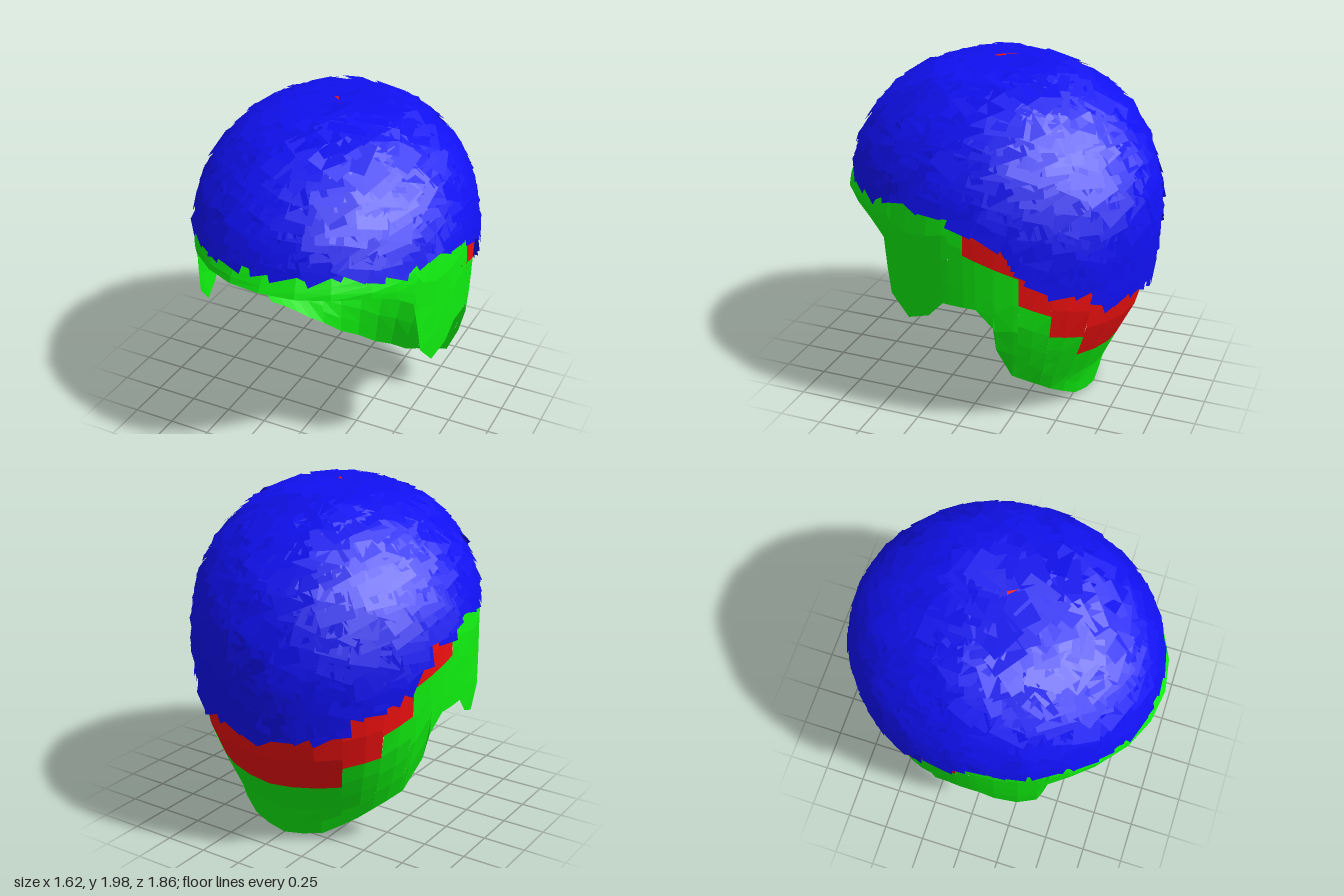
import * as THREE from 'three';
import { mergeGeometries } from 'three/addons/utils/BufferGeometryUtils.js';

const TOP = 1.97;
const RAD = Math.PI / 180;

// Piecewise linear lookup in a short list of [key, value]
function lookup(list, k) {
  if (k <= list[0][0]) return list[0][1];
  for (let i = 1; i < list.length; i++) {
    const [k0, v0] = list[i - 1], [k1, v1] = list[i];
    if (k <= k1) return v0 + (v1 - v0) * (k - k0) / (k1 - k0);
  }
  return list[list.length - 1][1];
}

// Head cross-section by height: half width, reach to the back, reach to the front
const WIDTH = [[0, 0.55], [0.16, 0.59], [0.32, 0.67], [0.52, 0.73], [0.67, 0.765], [0.8, 0.775], [1.1, 0.785]];
const BACK = [[0, 0.57], [0.2, 0.62], [0.37, 0.7], [0.5, 0.77], [0.7, 0.85], [1.1, 0.89]];
const FRONT = [[0.6, 1.1], [0.76, 1.0], [1.09, 0.9], [1.23, 0.94], [1.35, 0.89]];

// Angles in degrees from the front (0) to the back (180), the same on both sides
const HAIRLINE = [[0, 1.23], [24, 1.22], [38, 1.2], [48, 1.155], [56, 1.08], [58, 0.92], [60, 0.76],
  [68, 0.64], [78, 0.69], [85, 0.79], [99, 0.78], [106, 0.67], [107, 0.52], [114, 0.32],
  [136, 0.16], [156, 0.05], [180, 0.01]];
const CARD_LINE = [[0, 1.31], [70, 1.29], [88, 1.28], [112, 1.14], [118, 1.0], [128, 0.88],
  [145, 0.85], [152, 0.72], [180, 0.72]];
// Stepped border between rim and cap: from, to, height at each end
const STEPS = [[0, 88, 1.36, 1.33], [88, 94, 1.28, 1.25], [94, 116, 1.1, 0.98],
  [116, 129, 0.82, 0.74], [129, 145, 0.6, 0.55], [145, 180, 0.41, 0.37]];

// Point on the head at an angle and height
function headPoint(deg, y) {
  const s = Math.sin(deg * RAD), c = Math.cos(deg * RAD);
  const rise = Math.max(0, (y - 1.1) / (TOP - 1.1));
  const dome = Math.max(1e-4, Math.pow(Math.max(0, 1 - Math.pow(rise, 2.2)), 1 / 2.2));
  const w = lookup(WIDTH, y) * dome;
  const d = lookup(c > 0 ? FRONT : BACK, y) * dome;
  const r = 1 / Math.hypot(s / w, c / d);
  return new THREE.Vector3(s * r, y, c * r);
}

function stepHeight(deg, mid) {
  const [a, b, ya, yb] = STEPS.find(([from, to]) => mid >= from && mid <= to);
  return ya + (yb - ya) * (deg - a) / (b - a);
}

// Strip of quads between two heights, one strip for each pair of angles
function shellGeometry(columns, rows, low, high, ease) {
  const pos = [], index = [];
  for (let i = 0; i < columns.length - 1; i++) {
    const mid = Math.abs(columns[i] + columns[i + 1]) / 2;
    const base = pos.length / 3;
    for (let j = 0; j <= rows; j++) {
      for (const deg of [columns[i], columns[i + 1]]) {
        const a = Math.abs(deg), y0 = low(a, mid), y1 = high(a, mid);
        pos.push(...headPoint(deg, y0 + (y1 - y0) * ease(j / rows)).toArray());
      }
      if (j < rows) {
        const k = base + j * 2;
        index.push(k, k + 1, k + 3, k, k + 3, k + 2);
      }
    }
  }
  const g = new THREE.BufferGeometry();
  g.setAttribute('position', new THREE.Float32BufferAttribute(pos, 3));
  g.setIndex(index);
  g.computeVertexNormals();
  return g;
}

// Overlapping flat hair cards laid like shingles in a golden-angle spiral
function cardGeometry() {
  let seed = 7;
  const rand = () => (seed = (seed * 16807) % 2147483647) / 2147483647;
  const cards = [], count = 1150;
  for (let i = 0; i < count; i++) {
    const y = TOP - 0.004 - (i / count) * 1.2;
    const deg = ((i * 137.508) % 360) - 180;
    const spin = (rand() - 0.5) * (y > 1.8 ? 2.4 : 1.1);
    const w = 0.13 + 0.08 * rand(), h = 0.15 + 0.07 * rand();
    const lift = 0.008 + 0.014 * rand(), tilt = -0.04 - 0.13 * rand();
    if (y - h * 0.5 < lookup(CARD_LINE, Math.abs(deg)) - 0.02) continue;
    const p = headPoint(deg, y);
    const side = headPoint(deg + 1, y).sub(headPoint(deg - 1, y)).normalize();
    const up = headPoint(deg, y + 0.003).sub(headPoint(deg, y - 0.003)).normalize();
    const out = side.clone().cross(up).normalize();
    up.copy(out).cross(side);
    const m = new THREE.Matrix4().makeBasis(side, up, out).setPosition(p.addScaledVector(out, lift));
    cards.push(new THREE.PlaneGeometry(w, h).rotateX(tilt).rotateZ(spin).applyMatrix4(m));
  }
  return mergeGeometries(cards);
}

export function createModel() {
  const group = new THREE.Group();
  group.name = 'hair';
  const add = (name, geometry, color) => {
    const mesh = new THREE.Mesh(geometry, new THREE.MeshStandardMaterial({
      color, flatShading: true, side: THREE.DoubleSide }));
    mesh.name = name;
    group.add(mesh);
  };

  // Column angles: hairline corners, border steps and a few fillers, on both sides
  const half = [...new Set([...HAIRLINE.map((e) => e[0]), ...STEPS.map((s) => s[0]), 12, 122, 168])]
    .sort((a, b) => a - b);
  const columns = [...half.slice(1).reverse().map((a) => -a), ...half];

  // Rim along the hairline, with sideburns and nape
  add('hairlineRim', shellGeometry(columns, 4, (a) => lookup(HAIRLINE, a), stepHeight, (t) => t), 0x10f010);
  // Cap under the cards
  add('scalpCap', shellGeometry(columns, 12, stepHeight, () => TOP, (t) => Math.sin(t * Math.PI / 2)), 0xf01010);
  // Hair cards
  add('hairCards', cardGeometry(), 0x1010f0);
  return group;
}
